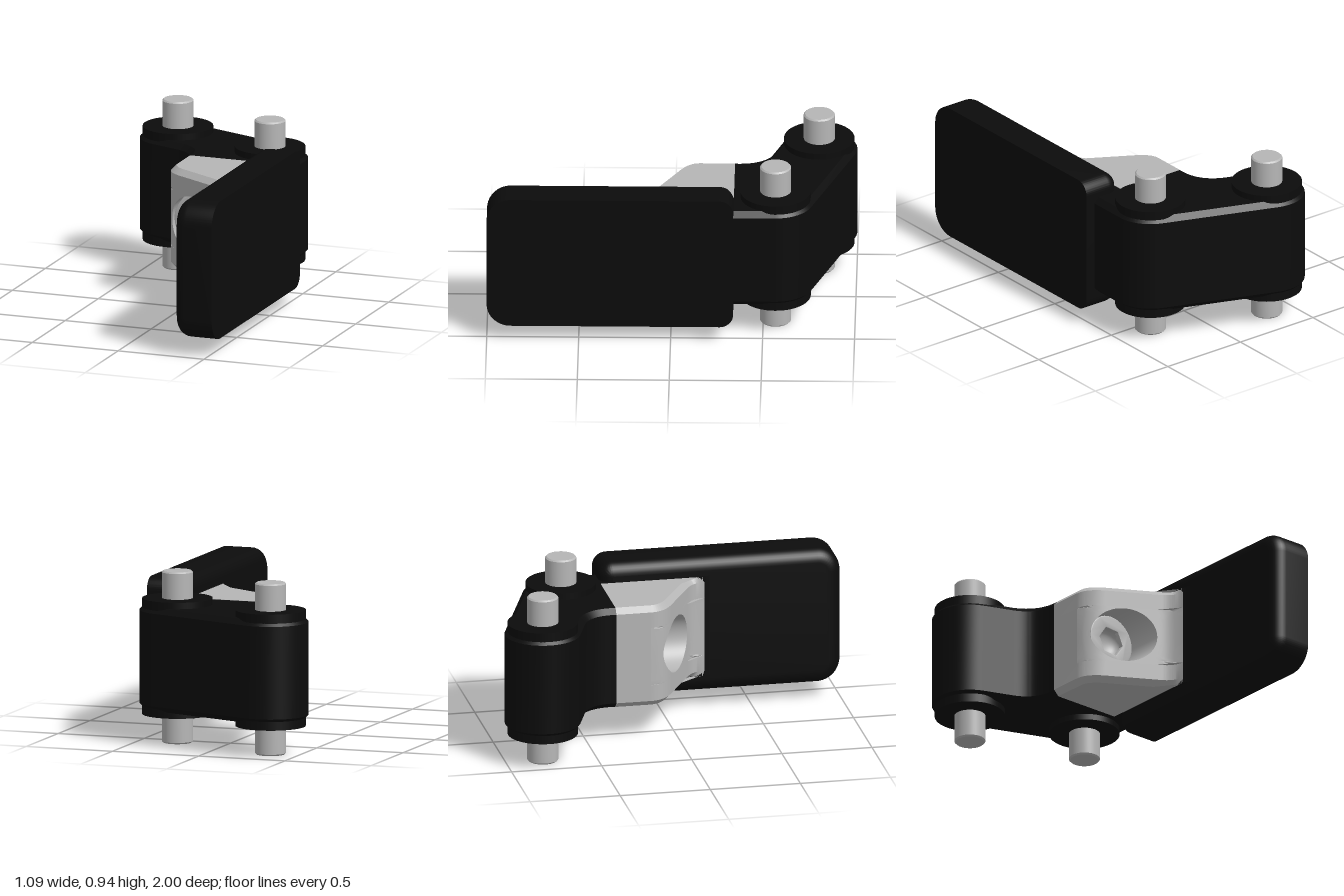
import * as THREE from 'three';
import { toCreasedNormals } from 'three/addons/utils/BufferGeometryUtils.js';

const steel = new THREE.MeshStandardMaterial({ color: 0xb6b6b6, side: THREE.DoubleSide });
steel.name = 'steel';
const black = new THREE.MeshStandardMaterial({ color: 0x0c0c0c });
black.name = 'black';

const BOTTOM = 0.19, TOP = 0.76, MID = 0.475, CHAMFER = 0.03;

// Stacks copies of a counter-clockwise outline; each section is [height, inset].
function loft(shape, sections, limit = (p) => p) {
  const pts = shape.getPoints(20).filter((p, i, a) => p.distanceTo(a[(i + 1) % a.length]) > 1e-4);
  const n = pts.length;
  const inward = pts.map((p, i) => {
    const d0 = p.clone().sub(pts[(i + n - 1) % n]).normalize();
    const d1 = pts[(i + 1) % n].clone().sub(p).normalize();
    const m = new THREE.Vector2(-d0.y - d1.y, d0.x + d1.x);
    return m.multiplyScalar(2 / m.lengthSq());
  });
  const rings = sections.map(([h, inset]) => pts.map((p, i) => {
    const q = limit(p.clone().addScaledVector(inward[i], inset));
    return [q.x, q.y, h];
  }));
  const pos = [];
  const tri = (a, b, c) => pos.push(...a, ...b, ...c);
  for (let k = 0; k < rings.length - 1; k++) {
    for (let i = 0; i < n; i++) {
      const j = (i + 1) % n, lo = rings[k], hi = rings[k + 1];
      tri(lo[i], lo[j], hi[j]);
      tri(lo[i], hi[j], hi[i]);
    }
  }
  const first = rings[0], last = rings[rings.length - 1];
  for (const [a, b, c] of THREE.ShapeUtils.triangulateShape(pts, [])) {
    tri(first[a], first[c], first[b]);
    tri(last[a], last[b], last[c]);
  }
  const geo = new THREE.BufferGeometry();
  geo.setAttribute('position', new THREE.Float32BufferAttribute(pos, 3));
  return toCreasedNormals(geo, 0.5);
}

// Outlines drawn as (x, -z) are stood up so that height becomes y.
const upright = (geo) => geo.rotateX(-Math.PI / 2);

function add(group, name, geo, mat) {
  const mesh = new THREE.Mesh(geo, mat);
  mesh.name = name;
  group.add(mesh);
  return mesh;
}

// Sloping front of the block, left to right, as (x, -z)
function slope(path) {
  path.quadraticCurveTo(-0.125, 0.075, -0.03, 0.02);
  path.lineTo(0.24, -0.134);
  path.quadraticCurveTo(0.298, -0.168, 0.305, -0.235);
  return path;
}

function frontZ(x, pts) {
  for (let i = 1; i < pts.length; i++) {
    if (x <= pts[i].x + 1e-6) {
      const a = pts[i - 1], b = pts[i];
      const t = Math.max(0, (x - a.x) / Math.max(b.x - a.x, 1e-6));
      return -(a.y + (b.y - a.y) * t);
    }
  }
  return -pts[pts.length - 1].y;
}

// Middle of the sloping face with a round bore running straight back
function boredFace(cx, r, y0, y1, floorZ) {
  const pts = slope(new THREE.Path().moveTo(-0.125, 0.15)).getPoints(20);
  const x0 = -0.125, x1 = 0.305, rows = 7;
  const angles = Array.from({ length: 96 }, (_, i) => -Math.PI + (i * Math.PI) / 48);
  for (const x of [x0, x1]) for (const y of [y0, y1]) angles.push(Math.atan2(y - MID, x - cx));
  angles.sort((a, b) => a - b);
  const pos = [], idx = [], n = angles.length;
  for (let k = 0; k <= rows; k++) {
    for (const a of angles) {
      const c = Math.cos(a), s = Math.sin(a);
      const edge = Math.min((c > 0 ? x1 - cx : cx - x0) / Math.max(Math.abs(c), 1e-6),
        (s > 0 ? y1 - MID : MID - y0) / Math.max(Math.abs(s), 1e-6));
      const d = k === 0 ? r : r + ((edge - r) * (k - 1)) / (rows - 1);
      const x = cx + c * d;
      pos.push(x, MID + s * d, k === 0 ? floorZ : frontZ(x, pts));
    }
  }
  for (let k = 0; k < rows; k++) {
    for (let i = 0; i < n; i++) {
      const j = (i + 1) % n, a = k * n + i, b = k * n + j;
      idx.push(a, a + n, b + n, a, b + n, b);
    }
  }
  const geo = new THREE.BufferGeometry();
  geo.setAttribute('position', new THREE.Float32BufferAttribute(pos, 3));
  geo.setIndex(idx);
  return toCreasedNormals(geo, 0.5);
}

export function createModel() {
  const model = new THREE.Group();
  model.name = 'hingedLever';
  const pivots = [[-0.341, -0.795], [0.283, -0.567]];

  // Link body around both pivots
  const link = new THREE.Shape();
  const tilt = Math.atan2(0.624, 0.228);
  link.moveTo(-0.125, 0.31);
  link.lineTo(0.49, 0.31);
  link.absarc(0.283, 0.567, 0.207, 0, tilt);
  link.absarc(-0.341, 0.795, 0.207, tilt, tilt + Math.PI);
  link.lineTo(-0.25, 0.542);
  link.quadraticCurveTo(-0.125, 0.496, -0.125, 0.363);
  link.closePath();
  add(model, 'linkBody', upright(loft(link, [
    [BOTTOM, CHAMFER], [BOTTOM + CHAMFER, 0], [TOP - CHAMFER, 0], [TOP, CHAMFER]])), black);

  // Pins and their collars
  for (const [x, z] of pivots) {
    const profile = [[0, 0], [0.077, 0], [0.085, 0.008], [0.085, 0.937], [0.077, 0.945], [0, 0.945]]
      .map(([r, y]) => new THREE.Vector2(r, y));
    add(model, 'pin', toCreasedNormals(new THREE.LatheGeometry(profile, 40), 0.5), steel).position.set(x, 0, z);
    add(model, 'collar', new THREE.CylinderGeometry(0.192, 0.192, 0.638, 48), black).position.set(x, 0.476, z);
  }

  // Metal block: chamfered bands above and below the bored middle
  const block = new THREE.Shape();
  block.moveTo(-0.126, 0.4);
  block.lineTo(-0.126, 0.15);
  slope(block);
  block.lineTo(0.345, -0.235);
  block.lineTo(0.345, 0.4);
  block.closePath();
  const limit = (p) => p.set(Math.min(p.x, 0.305), Math.min(p.y, 0.341));
  const e = 0.001, low = 0.31, high = 0.64;
  add(model, 'blockLower', upright(loft(block, [
    [BOTTOM - e, CHAMFER], [BOTTOM + CHAMFER, 0], [low, 0]], limit)), steel);
  add(model, 'blockUpper', upright(loft(block, [
    [high, 0], [TOP - CHAMFER, 0], [TOP + e, CHAMFER]], limit)), steel);
  add(model, 'blockCore', new THREE.BoxGeometry(0.431, high - low, 0.191), steel).position.set(0.0895, MID, -0.2455);
  add(model, 'blockFace', boredFace(0.06, 0.157, low, high, -0.15), steel);

  // Screw head with a hexagonal socket
  const head = new THREE.Shape().absarc(0, 0, 0.148, 0, Math.PI * 2);
  const hex = Array.from({ length: 6 }, (_, i) => {
    const a = (i * Math.PI) / 3 - 0.08;
    return new THREE.Vector2(0.082 * Math.cos(a), 0.082 * Math.sin(a));
  });
  head.holes.push(new THREE.Path(hex));
  const headGeo = new THREE.ExtrudeGeometry(head, {
    depth: 0.06, bevelSize: 0.006, bevelThickness: 0.006, bevelOffset: -0.006, bevelSegments: 2, curveSegments: 32 });
  add(model, 'screwHead', toCreasedNormals(headGeo, 0.5), steel).position.set(0.06, MID, -0.146);
  const bowl = new THREE.SphereGeometry(0.074, 32, 10, 0, Math.PI * 2, Math.PI / 2, Math.PI / 2)
    .rotateX(Math.PI / 2).scale(1, 1, 0.6);
  add(model, 'screwSocket', bowl, steel).position.set(0.06, MID, -0.1);

  // Web joining block and paddle
  const web = new THREE.Shape();
  web.moveTo(0.304, 0.341);
  web.lineTo(0.304, -0.22);
  web.quadraticCurveTo(0.322, -0.25, 0.325, -0.32);
  web.lineTo(0.42, -0.32);
  web.lineTo(0.42, 0.341);
  web.closePath();
  add(model, 'web', upright(loft(web, [[BOTTOM, 0], [TOP, 0]])), black);

  // Paddle: flat outer face, rounded inner edges
  const paddle = new THREE.Shape();
  const z0 = -0.34, z1 = 1, y0 = 0.09, y1 = 0.86, rf = 0.13, rb = 0.075, q = Math.PI / 2;
  paddle.absarc(z0 + rb, y0 + rb, rb, 2 * q, 3 * q);
  paddle.absarc(z1 - rf, y0 + rf, rf, 3 * q, 4 * q);
  paddle.absarc(z1 - rf, y1 - rf, rf, 0, q);
  paddle.absarc(z0 + rb, y1 - rb, rb, q, 2 * q);
  const rings = [[-0.545, 0]];
  for (let i = 0; i <= 8; i++) {
    const a = (i / 8) * q;
    rings.push([-0.39 + 0.07 * Math.sin(a), 0.07 * (1 - Math.cos(a))]);
  }
  add(model, 'paddle', loft(paddle, rings).rotateY(-q), black);

  return model;
}
